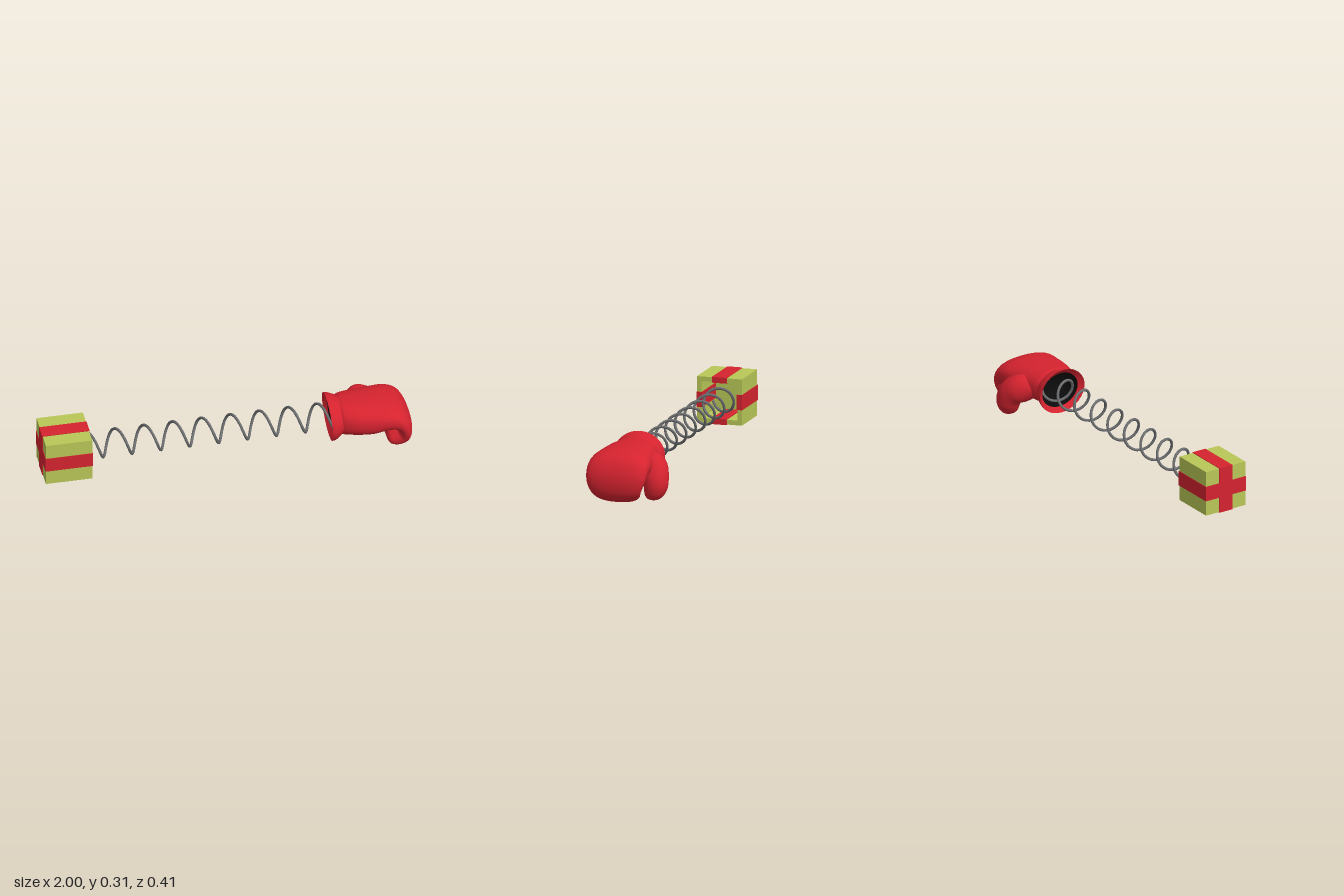
import * as THREE from 'three';

const mat = (name, color, side = THREE.FrontSide) => {
  const m = new THREE.MeshStandardMaterial({ color, side });
  m.name = name;
  return m;
};

// Smooth loft through rings given as [outerX, outerY, innerX, innerY, zMin, zMax]
function loft(rings, { steps = 40, sides = 36, power = 2, smooth = true, closeEnd = false } = {}) {
  const track = (f) => {
    const pts = rings.map(f);
    if (smooth) return new THREE.CatmullRomCurve3(pts, false, 'catmullrom', 0.5);
    const path = new THREE.CurvePath();
    path.getPoint = (t) => {
      const k = t * (pts.length - 1), i = Math.min(Math.floor(k), pts.length - 2);
      return pts[i].clone().lerp(pts[i + 1], k - i);
    };
    return path;
  };
  const outer = track((r) => new THREE.Vector3(r[0], r[1], r[4]));
  const inner = track((r) => new THREE.Vector3(r[2], r[3], r[5]));
  const round = (v) => Math.sign(v) * Math.pow(Math.abs(v), 2 / power);
  const pos = [], idx = [];
  for (let i = 0; i <= steps; i++) {
    const o = outer.getPoint(i / steps), n = inner.getPoint(i / steps);
    for (let j = 0; j < sides; j++) {
      const a = (j / sides) * Math.PI * 2, c = round(Math.cos(a)), s = round(Math.sin(a));
      pos.push((o.x + n.x + (o.x - n.x) * c) / 2, (o.y + n.y + (o.y - n.y) * c) / 2,
        (o.z + n.z + (n.z - o.z) * s) / 2);
      if (i < steps) {
        const p = i * sides + j, q = i * sides + ((j + 1) % sides);
        idx.push(p, q, q + sides, p, q + sides, p + sides);
      }
    }
  }
  if (closeEnd) {
    const last = steps * sides;
    for (let j = 1; j < sides - 1; j++) idx.push(last, last + j, last + j + 1);
  }
  const g = new THREE.BufferGeometry();
  g.setAttribute('position', new THREE.Float32BufferAttribute(pos, 3));
  g.setIndex(idx);
  g.computeVertexNormals();
  return g;
}

export function createModel() {
  const model = new THREE.Group();
  model.name = 'springGloveBox';
  const red = mat('red', 0xd5232f);
  const lime = mat('lime', 0xb9c757);
  const steel = mat('steel grey', 0x6c6e70);
  const black = mat('black lining', 0x0c0c0c, THREE.DoubleSide);
  const CY = 0.185, CZ = 0.033;

  const add = (parent, name, geo, material) => {
    const m = new THREE.Mesh(geo, material);
    m.name = name;
    parent.add(m);
    return m;
  };

  // Gift box, open towards +x
  const box = new THREE.Group();
  box.name = 'giftBox';
  box.position.set(0, CY, CZ);
  model.add(box);
  const half = 0.126, wall = 0.026, ribbon = 0.083, lip = 0.003;
  const x0 = -0.997, x1 = -0.746, len = x1 - x0, mid = (x0 + x1) / 2;
  add(box, 'boxBack', new THREE.BoxGeometry(wall, half * 2, half * 2), lime).position.x = x0 + wall / 2;
  for (let i = 0; i < 4; i++) {
    const side = new THREE.Group();
    side.name = 'boxSide';
    side.rotation.x = (i * Math.PI) / 2;
    box.add(side);
    const span = i % 2 ? (half - wall) * 2 : half * 2;
    add(side, 'boxWall', new THREE.BoxGeometry(len, wall, span), lime)
      .position.set(mid, half - wall / 2, 0);
    // Ribbon wraps the wall outside, over the rim and inside
    add(side, 'sideRibbon', new THREE.BoxGeometry(len + lip * 2, wall + lip * 2, ribbon), red)
      .position.set(mid, half - wall / 2, 0);
  }
  // Ribbon cross on the closed end
  add(box, 'backRibbonUpright', new THREE.BoxGeometry(0.006, half * 2, ribbon), red).position.x = x0;
  add(box, 'backRibbonLevel', new THREE.BoxGeometry(0.006, ribbon, half * 2), red).position.x = x0;

  // Coil spring
  const start = -0.84, end = 0.64, pitch = 0.1565, radius = 0.072;
  const coil = [];
  const perTurn = 12, count = Math.round(((end - start) / pitch) * perTurn);
  for (let i = 0; i <= count; i++) {
    const x = start + ((end - start) * i) / count;
    const a = ((x + 0.575) / pitch) * Math.PI * 2;
    coil.push(new THREE.Vector3(x, CY + radius * Math.cos(a), CZ + radius * Math.sin(a)));
  }
  add(model, 'spring', new THREE.TubeGeometry(new THREE.CatmullRomCurve3(coil), count * 2, 0.0075, 8), steel);

  // Boxing glove
  const glove = new THREE.Group();
  glove.name = 'boxingGlove';
  model.add(glove);

  // Flared cuff and curled mitten
  add(glove, 'cuff', loft([
    [0.546, 0.31, 0.562, 0.058, -0.105, 0.18],
    [0.565, 0.307, 0.58, 0.063, -0.103, 0.179],
    [0.59, 0.296, 0.598, 0.076, -0.094, 0.17],
    [0.622, 0.282, 0.622, 0.096, -0.083, 0.153],
  ], { steps: 10 }), red);
  add(glove, 'mitten', loft([
    [0.608, 0.279, 0.608, 0.1, -0.08, 0.148],
    [0.63, 0.288, 0.635, 0.098, -0.09, 0.163],
    [0.7, 0.289, 0.7, 0.098, -0.105, 0.185],
    [0.8, 0.286, 0.78, 0.1, -0.12, 0.197],
    [0.88, 0.276, 0.85, 0.122, -0.13, 0.203],
    [0.95, 0.242, 0.895, 0.124, -0.132, 0.204],
    [0.99, 0.175, 0.913, 0.112, -0.128, 0.202],
    [0.998, 0.1, 0.915, 0.103, -0.115, 0.193],
    [0.98, 0.04, 0.908, 0.1, -0.1, 0.178],
    [0.932, 0.008, 0.895, 0.098, -0.088, 0.165],
    [0.885, 0.011, 0.874, 0.086, -0.075, 0.15],
    [0.866, 0.034, 0.863, 0.062, -0.05, 0.125],
    [0.863, 0.047, 0.863, 0.051, -0.02, 0.095],
  ], { steps: 60, power: 2.4, closeEnd: true }), red);

  // Thumb on the far side
  add(glove, 'thumb', loft([
    [0.655, 0.215, 0.65, 0.15, -0.095, -0.02],
    [0.73, 0.25, 0.69, 0.11, -0.168, -0.02],
    [0.81, 0.215, 0.72, 0.095, -0.196, -0.05],
    [0.855, 0.15, 0.735, 0.08, -0.204, -0.065],
    [0.868, 0.09, 0.747, 0.057, -0.202, -0.074],
    [0.86, 0.04, 0.765, 0.028, -0.184, -0.08],
    [0.84, 0.013, 0.787, 0.011, -0.16, -0.095],
    [0.816, 0.003, 0.81, 0.003, -0.132, -0.122],
  ], { steps: 36, sides: 28, closeEnd: true }), red);

  // Cuff rim and dark hollow
  const mouth = [0.57, 0.283, 0.581, 0.087, -0.077, 0.15];
  add(glove, 'cuffRim', loft([mouth, [0.546, 0.31, 0.562, 0.058, -0.105, 0.18]],
    { steps: 1, smooth: false }), red);
  add(glove, 'cuffHollow', loft([
    [0.7, 0.187, 0.7, 0.183, 0.03, 0.036],
    [0.7, 0.265, 0.7, 0.115, -0.06, 0.135],
    mouth,
  ], { steps: 2, smooth: false }), black);

  return model;
}
